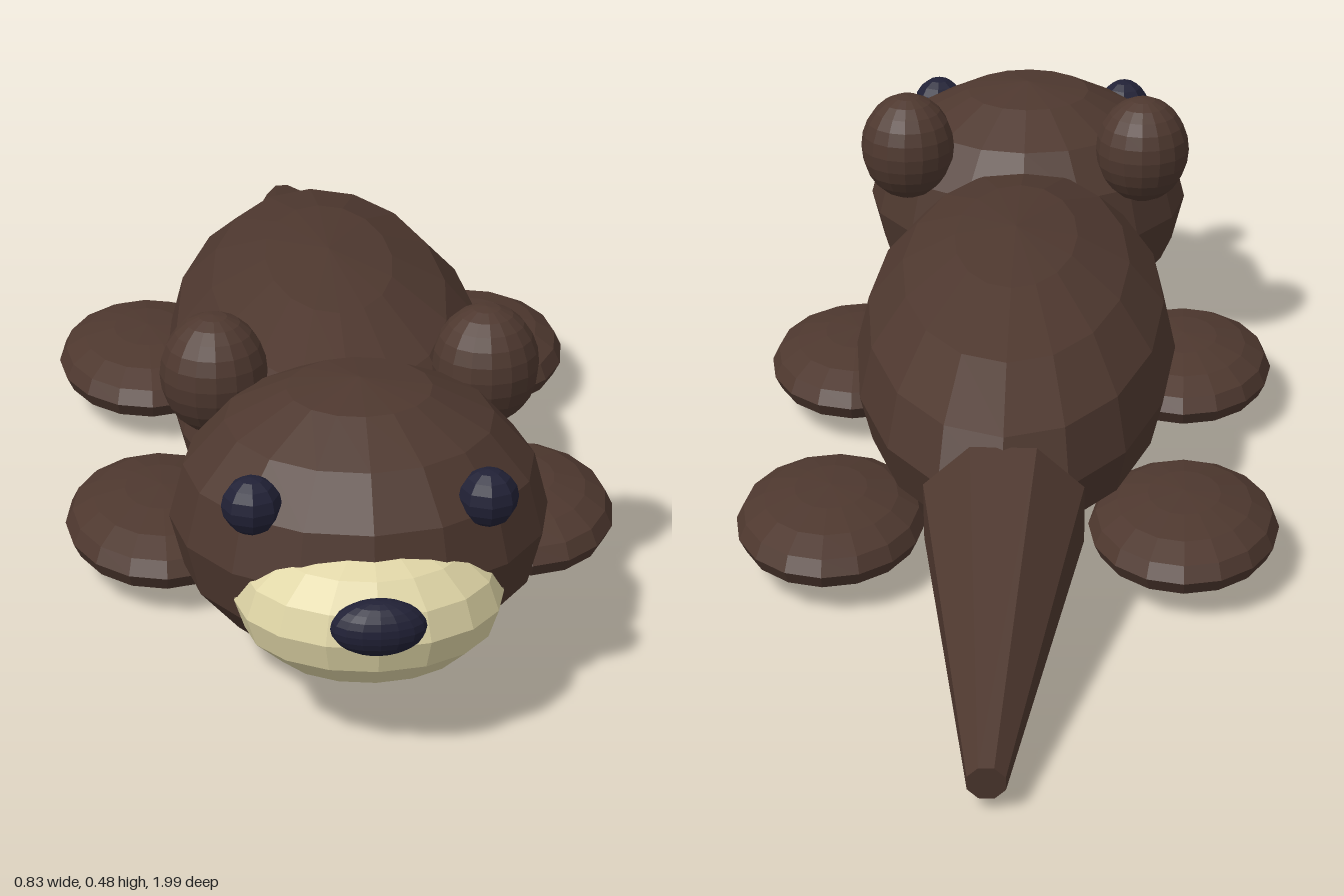
import * as THREE from 'three';

const paint = (name, color) => {
  const m = new THREE.MeshStandardMaterial({ color });
  m.name = name;
  return m;
};

// Faceted normals: every triangle gets its own vertices
const faceted = (geometry) => {
  const g = geometry.toNonIndexed();
  g.computeVertexNormals();
  return g;
};

export function createModel() {
  const model = new THREE.Group();
  model.name = 'otter';
  const fur = paint('brownFur', 0x4e382f);
  const cream = paint('creamMuzzle', 0xdfd5a6);
  const dark = paint('darkEyes', 0x212136);

  // Ellipsoid given by its centre and radii
  const blob = (name, material, centre, radii, cols = 16, rows = 8) => {
    const g = new THREE.SphereGeometry(1, cols, rows);
    g.scale(...radii);
    const mesh = new THREE.Mesh(faceted(g), material);
    mesh.name = name;
    mesh.position.set(...centre);
    model.add(mesh);
  };

  // Body and head
  blob('body', fur, [0, 0.21, 0.1], [0.255, 0.206, 0.55]);
  blob('head', fur, [0, 0.248, 0.65], [0.27, 0.207, 0.26]);

  // Face
  blob('muzzle', cream, [0, 0.2, 0.82], [0.188, 0.11, 0.155]);
  blob('nose', dark, [0, 0.227, 0.962], [0.066, 0.04, 0.036], 16, 12);

  // Mirrored eyes, ears and paws
  for (const [side, s] of [['left', 1], ['right', -1]]) {
    blob(side + 'Eye', dark, [s * 0.163, 0.35, 0.828], [0.042, 0.042, 0.04], 8, 8);
    blob(side + 'Ear', fur, [s * 0.197, 0.396, 0.492], [0.078, 0.09, 0.078], 16, 12);
    blob(side + 'FrontPaw', fur, [s * 0.27, 0.075, 0.325], [0.146, 0.06, 0.195]);
    blob(side + 'BackPaw', fur, [s * 0.27, 0.075, -0.262], [0.146, 0.06, 0.195]);
  }

  // Tapered eight-sided tail, flat side up, sloping down to the tip
  const base = new THREE.Vector3(0, 0.156, -0.39);
  const tip = new THREE.Vector3(0, 0.048, -0.992);
  const axis = tip.clone().sub(base);
  const g = new THREE.CylinderGeometry(0.029, 0.13, axis.length(), 8, 1, false, Math.PI / 8);
  const tail = new THREE.Mesh(faceted(g), fur);
  tail.name = 'tail';
  tail.position.copy(base).lerp(tip, 0.5);
  tail.quaternion.setFromUnitVectors(new THREE.Vector3(0, 1, 0), axis.normalize());
  model.add(tail);

  return model;
}
